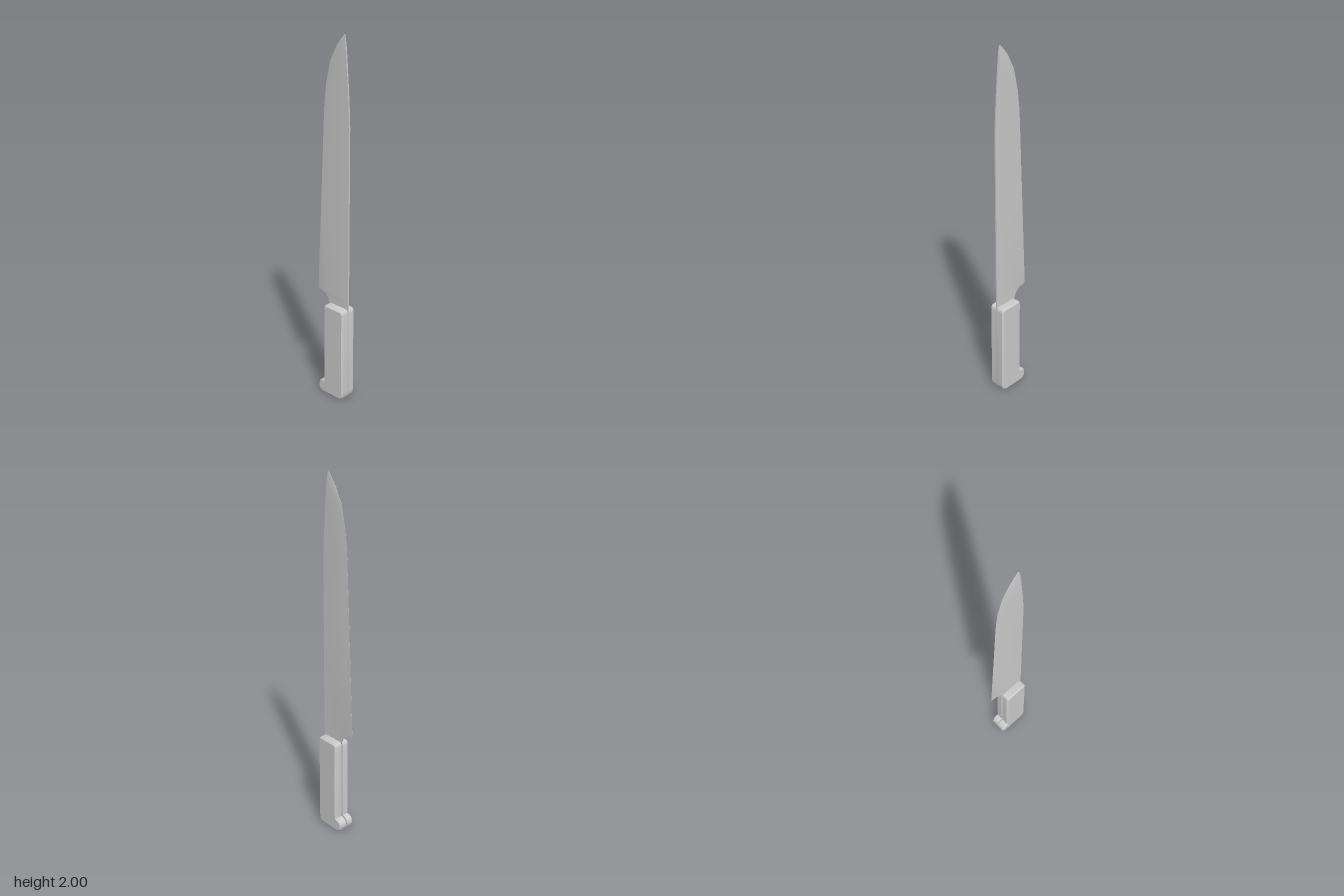
import * as THREE from 'three';
import { toCreasedNormals } from 'three/addons/utils/BufferGeometryUtils.js';

const HALF = 0.004;      // half thickness of the steel
const HANDLE = 0.047;    // half width of the handle
const CHAMFER = 0.008;

// Steel from stacked cross-sections: [height, spine z, edge z, half thickness at the edge]
function bladeGeometry() {
  const rows = [
    [0.002, 0.085, -0.015, HALF],
    [0.012, 0.102, -0.015, HALF],
    [0.045, 0.11, -0.015, HALF],
    [0.53, 0.11, -0.018, HALF],
    [0.545, 0.11, -0.025, 0.003],
    [0.57, 0.11, -0.038, 0.002],
    [0.592, 0.11, -0.065, 0.001],
    [0.605, 0.11, -0.111, 0.0003],
    [1.1, 0.11, -0.088, 0.0003],
    [1.55, 0.11, -0.067, 0.0003],
    [1.64, 0.106, -0.062, 0.0003],
    [1.74, 0.1, -0.05, 0.0003],
    [1.86, 0.091, -0.022, 0.0003],
    [1.94, 0.084, 0.02, 0.0003],
    [1.985, 0.08, 0.055, 0.0003],
    [2.0, 0.075, 0.07, 0.0003],
  ];
  const n = 6, position = [], index = [];
  for (const [y, spine, edge, t] of rows) {
    const mid = edge + (spine - edge) * 0.3;
    const h = y > 1.95 ? 0.002 : HALF;
    for (const [x, z] of [[h, spine], [h, mid], [t, edge], [-t, edge], [-h, mid], [-h, spine]]) {
      position.push(x, y, z);
    }
  }
  for (let r = 0; r < rows.length - 1; r++) {
    for (let i = 0; i < n; i++) {
      const a = r * n + i, b = r * n + (i + 1) % n;
      index.push(a, b, a + n, b, b + n, a + n);
    }
  }
  // end caps
  const top = (rows.length - 1) * n;
  for (let i = 1; i < n - 1; i++) {
    index.push(0, i + 1, i, top, top + i, top + i + 1);
  }
  const geometry = new THREE.BufferGeometry();
  geometry.setAttribute('position', new THREE.Float32BufferAttribute(position, 3));
  geometry.setIndex(index);
  return toCreasedNormals(geometry, 0.35);
}

// Side outline of the grip with a small hook at its foot
function handleShape(side) {
  const s = new THREE.Shape();
  const p = (z) => -side * z;
  s.moveTo(p(0.085), 0.002);
  s.lineTo(p(-0.035), 0.002);
  s.quadraticCurveTo(p(-0.068), 0.006, p(-0.07), 0.04);
  s.quadraticCurveTo(p(-0.068), 0.076, p(-0.03), 0.08);
  s.lineTo(p(-0.03), 0.525);
  s.quadraticCurveTo(p(-0.029), 0.545, p(-0.01), 0.546);
  s.lineTo(p(0.09), 0.546);
  s.quadraticCurveTo(p(0.109), 0.545, p(0.11), 0.525);
  s.lineTo(p(0.11), 0.045);
  s.quadraticCurveTo(p(0.11), 0.004, p(0.085), 0.002);
  return s;
}

// Grip scale chamfered on its outer face and flat against the steel
function scaleGeometry(side) {
  const geometry = new THREE.ExtrudeGeometry(handleShape(side), {
    depth: HANDLE - HALF - CHAMFER, curveSegments: 6, bevelEnabled: true,
    bevelThickness: CHAMFER, bevelSize: CHAMFER, bevelOffset: -CHAMFER, bevelSegments: 1,
  });
  const pos = geometry.attributes.position;
  for (let i = 0; i < pos.count; i++) pos.setZ(i, Math.max(0, pos.getZ(i)));
  geometry.rotateY(side * Math.PI / 2);
  geometry.translate(side * HALF, 0, 0);
  return toCreasedNormals(geometry, 0.5);
}

export function createModel() {
  const model = new THREE.Group();
  model.name = 'kitchenKnife';
  const grey = new THREE.MeshStandardMaterial({ color: 0xcccccc });
  grey.name = 'light grey';

  const add = (name, geometry) => {
    const mesh = new THREE.Mesh(geometry, grey);
    mesh.name = name;
    model.add(mesh);
  };
  add('bladeAndTang', bladeGeometry());
  add('leftHandleScale', scaleGeometry(1));
  add('rightHandleScale', scaleGeometry(-1));
  return model;
}
